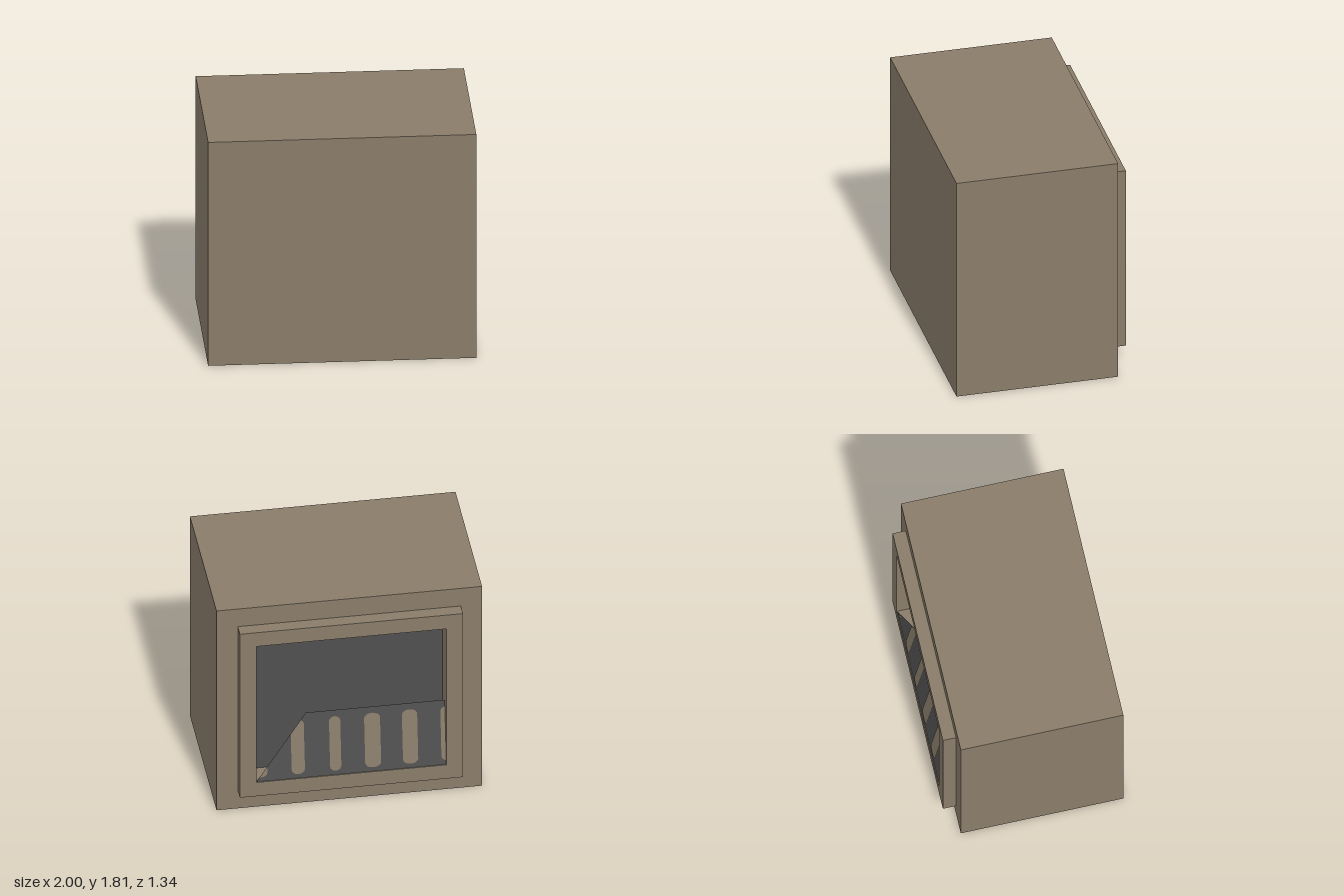
import * as THREE from 'three';

const brown = new THREE.MeshStandardMaterial({ color: 0x8a7c6a });
brown.name = 'brown casing';
const charcoal = new THREE.MeshStandardMaterial({ color: 0x505050, side: THREE.DoubleSide });
charcoal.name = 'charcoal';

// Opening of the recess
const HALF = 0.715, BOTTOM = 0.29, TOP = 1.525;

function rect(shape, x, y0, y1) {
  shape.moveTo(-x, y0);
  shape.lineTo(x, y0);
  shape.lineTo(x, y1);
  shape.lineTo(-x, y1);
  shape.closePath();
  return shape;
}

function add(parent, name, geometry, material) {
  const mesh = new THREE.Mesh(geometry, material);
  mesh.name = name;
  parent.add(mesh);
  return mesh;
}

// Rectangular ring around the recess, from z0 to z1
function ring(x, y0, y1, z0, z1) {
  const shape = rect(new THREE.Shape(), x, y0, y1);
  shape.holes.push(rect(new THREE.Path(), HALF, BOTTOM, TOP));
  return new THREE.ExtrudeGeometry(shape, { depth: z1 - z0, bevelEnabled: false }).translate(0, 0, z0);
}

// Keep the part of a polygon where inside(p) >= 0
function clip(points, inside) {
  const out = [];
  points.forEach((p, i) => {
    const q = points[(i + 1) % points.length];
    const a = inside(p), b = inside(q);
    if (a >= 0) out.push(p);
    if (a * b < 0) out.push(p.clone().lerp(q, a / (a - b)));
  });
  return out;
}

// Upright slot with rounded ends
function slotOutline(x, width, y0, y1) {
  const r = width / 2, e = 0.04, pts = [];
  for (let i = 0; i <= 8; i++) {
    const a = (i / 8) * Math.PI;
    pts.push(new THREE.Vector2(x + r * Math.cos(a), y1 - e + e * Math.sin(a)));
  }
  for (let i = 0; i <= 8; i++) {
    const a = Math.PI + (i / 8) * Math.PI;
    pts.push(new THREE.Vector2(x + r * Math.cos(a), y0 + e + e * Math.sin(a)));
  }
  return pts;
}

export function createModel() {
  const model = new THREE.Group();
  model.name = 'recessedCabinet';

  // Casing with the recess cut into its back
  add(model, 'body', new THREE.BoxGeometry(2, 1.81, 1.15).translate(0, 0.905, 0.095), brown);
  add(model, 'bodyBackRim', ring(1, 0, 1.81, -0.57, -0.48), brown);
  add(model, 'openingFrame', ring(0.84, 0.165, 1.65, -0.67, -0.57), brown);

  // Dark wall at the end of the recess
  add(model, 'recessWall',
    new THREE.BoxGeometry(HALF * 2, TOP - BOTTOM, 0.005).translate(0, (TOP + BOTTOM) / 2, -0.4825), charcoal);

  // Leaning panel, drawn in its own plane and cut off on one side
  const panel = new THREE.Group();
  panel.name = 'slopedPanel';
  const width = HALF * 2, length = 0.54, cut = 0.385;
  const across = new THREE.Vector3(-1, 0, 0);
  const up = new THREE.Vector3(0, 0.535, 0.076).normalize();
  const out = new THREE.Vector3().crossVectors(across, up);
  panel.applyMatrix4(new THREE.Matrix4().makeBasis(across, up, out).setPosition(HALF, BOTTOM, -0.664));
  model.add(panel);

  const corners = [[0, 0], [width, 0], [width, length], [cut, length]];
  add(panel, 'panelPlate',
    new THREE.ShapeGeometry(new THREE.Shape(corners.map(c => new THREE.Vector2(...c)))), charcoal);

  // Row of brown slots, trimmed to the panel's outline
  [0.1, 0.1, 0.085, 0.12, 0.115, 0.1].forEach((w, i) => {
    let pts = slotOutline(0.035 + i * 0.282, w, 0.035, 0.49);
    pts = clip(pts, p => p.x - (p.y * cut) / length);
    pts = clip(pts, p => width - p.x);
    add(panel, 'slot' + (i + 1), new THREE.ShapeGeometry(new THREE.Shape(pts)).translate(0, 0, 0.004), brown);
  });

  return model;
}
